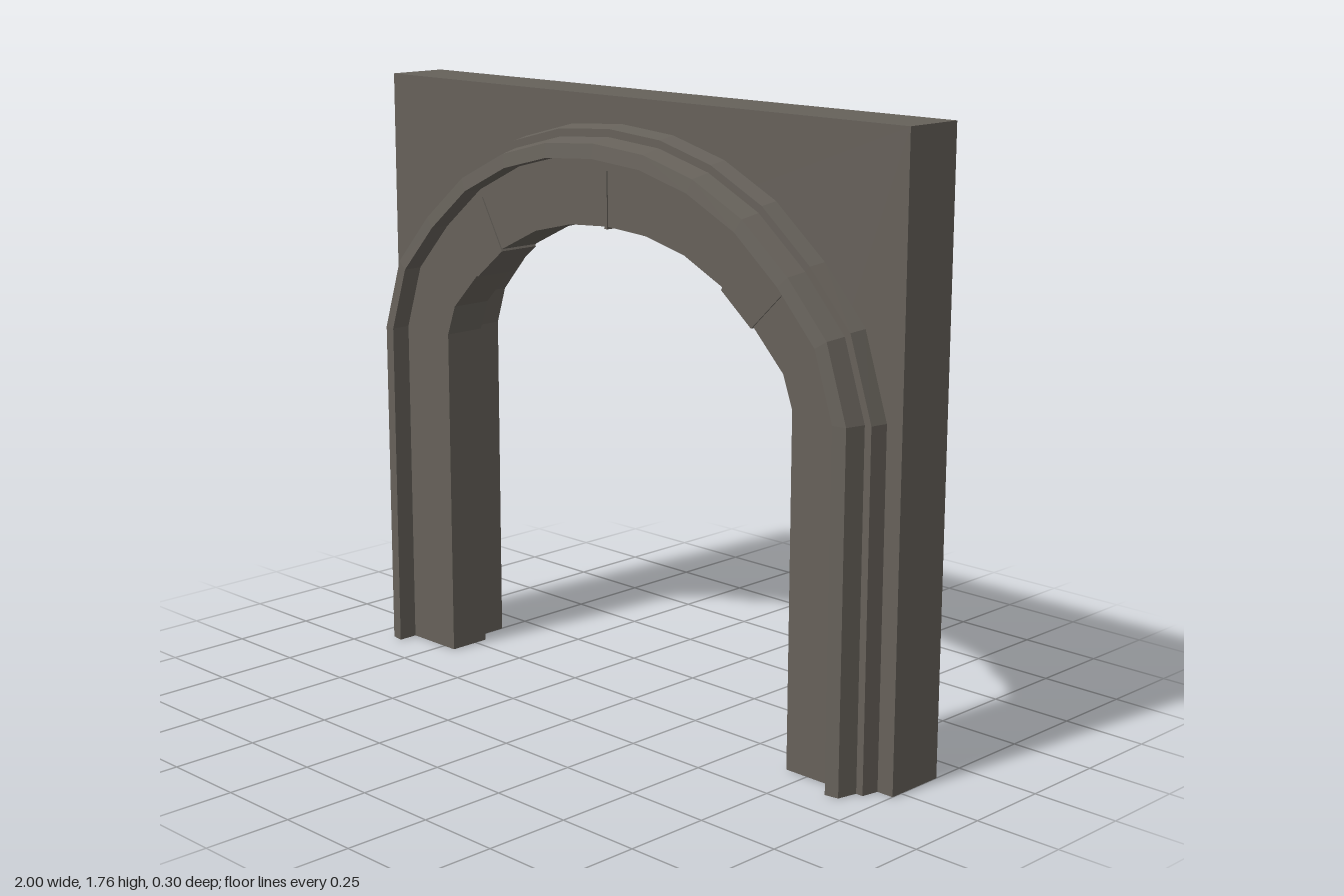
import * as THREE from 'three';

const CX = -0.013; // the opening sits slightly off the wall's centre

// Half curves from the spring line up to the crown
const INNER = [[0.69, 1], [0.657, 1.09], [0.55, 1.2], [0.44, 1.29], [0.295, 1.36], [0.15, 1.395], [0, 1.405]];
const OUTER = [[0.962, 1], [0.885, 1.235], [0.745, 1.39], [0.575, 1.53], [0.39, 1.62], [0.2, 1.67], [0, 1.685]];
const WALL = [[0.735, 1], [0.7, 1.11], [0.59, 1.235], [0.475, 1.335], [0.3, 1.405], [0.15, 1.43], [0, 1.435]];

// Full path from left foot over the crown to the right foot
function fullPath(half) {
  const left = half.map(([x, y]) => [CX - x, y]);
  const right = half.slice(0, -1).reverse().map(([x, y]) => [CX + x, y]);
  const path = [...left, ...right];
  return [[path[0][0], 0], ...path, [path[path.length - 1][0], 0]];
}

const inner = fullPath(INNER);
const outer = fullPath(OUTER);

// Point a fraction t of the way from the inner to the outer curve
function bandPoint(i, t) {
  return [
    THREE.MathUtils.lerp(inner[i][0], outer[i][0], t),
    THREE.MathUtils.lerp(inner[i][1], outer[i][1], t),
  ];
}

// Sweep an open (t, z) cross-section over the arch
function sweepArch(section) {
  const pos = [];
  const rings = inner.map((_, i) => section.map(([t, z]) => [...bandPoint(i, t), z]));
  for (let i = 0; i < rings.length - 1; i++) {
    for (let j = 0; j < section.length - 1; j++) {
      const a = rings[i][j], b = rings[i + 1][j], c = rings[i + 1][j + 1], d = rings[i][j + 1];
      pos.push(...a, ...d, ...c, ...a, ...c, ...b);
    }
  }
  const geo = new THREE.BufferGeometry();
  geo.setAttribute('position', new THREE.Float32BufferAttribute(pos, 3));
  geo.computeVertexNormals();
  return geo;
}

function extrudeFrom(points, z0, z1) {
  const shape = new THREE.Shape(points.map(([x, y]) => new THREE.Vector2(x, y)));
  const geo = new THREE.ExtrudeGeometry(shape, { depth: z1 - z0, bevelEnabled: false });
  return geo.translate(0, 0, z0);
}

export function createModel() {
  const group = new THREE.Group();
  const stone = new THREE.MeshStandardMaterial({ color: 0x66615a });
  stone.name = 'warm grey stone';
  stone.flatShading = true;
  stone.side = THREE.DoubleSide; // the mouldings are open at the feet

  const add = (name, geo) => {
    const mesh = new THREE.Mesh(geo, stone);
    mesh.name = name;
    group.add(mesh);
  };

  // Wall slab with the arched opening
  add('wall', extrudeFrom([[-1, 0], ...fullPath(WALL), [1, 0], [1, 1.76], [-1, 1.76]], -0.15, 0.035));

  // Stepped outer moulding with a raised rim
  add('archMoulding', sweepArch([
    [1, 0.035], [0.965, 0.085], [0.885, 0.085], [0.838, 0.143], [0.69, 0.15], [0.69, 0.09],
  ]));

  // Recessed inner ring, running back into the opening
  add('innerRing', sweepArch([[0.69, 0.09], [0, 0.09], [0, -0.04], [0.2, -0.04]]));

  // Slightly proud wedge stones on both haunches
  for (const [name, i] of [['rightWedgeStone', 3], ['leftWedgeStone', 10]]) {
    const corners = [bandPoint(i, -0.025), bandPoint(i + 1, -0.025), bandPoint(i + 1, 0.6), bandPoint(i, 0.6)];
    add(name, extrudeFrom(corners, -0.04, 0.094));
  }

  // Narrow tapering joint at the crown
  add('crownJoint', extrudeFrom([[CX - 0.008, 1.398], [CX + 0.004, 1.398], [CX + 0.001, 1.56]], -0.04, 0.094));

  return group;
}
